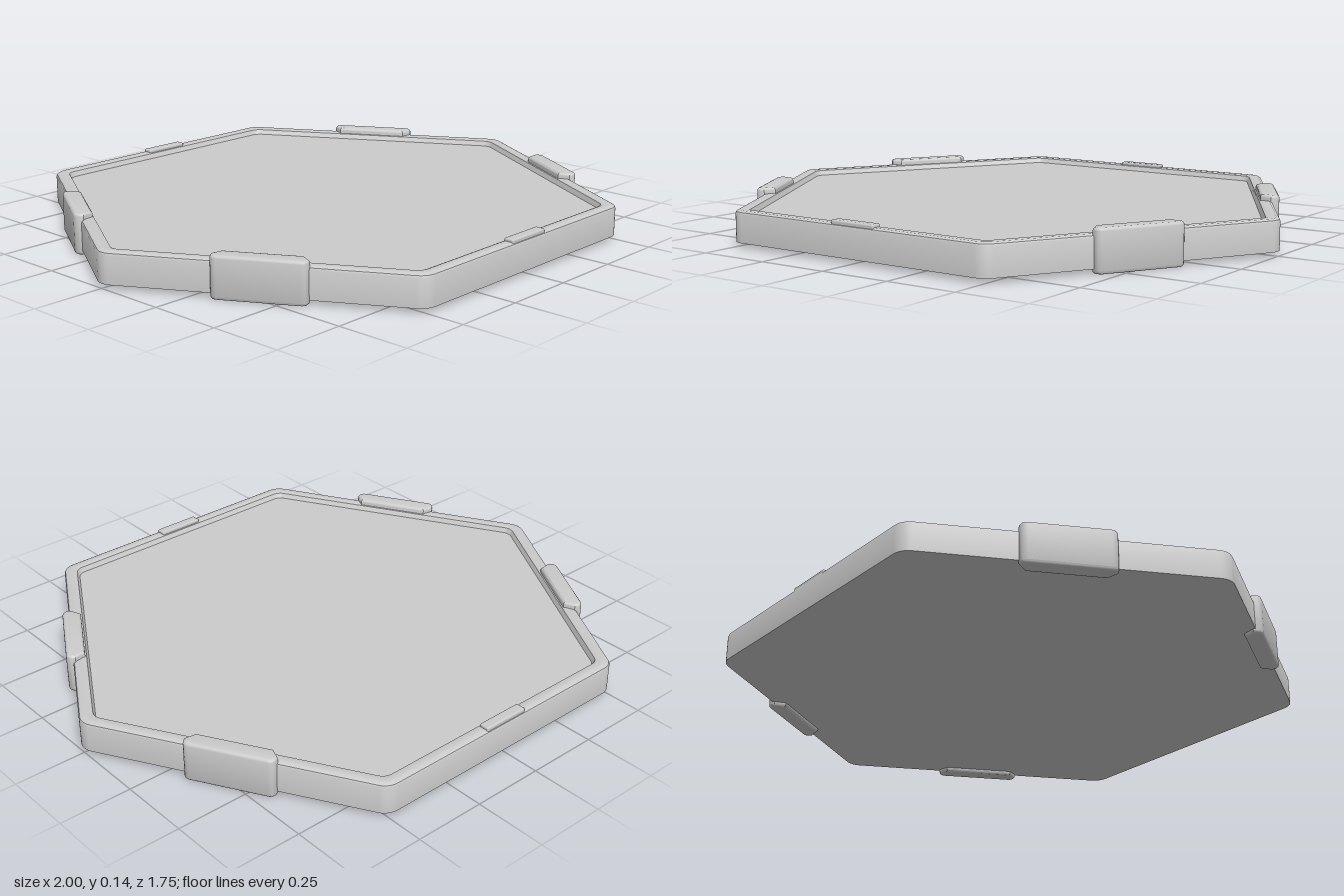
import * as THREE from 'three';
import { toCreasedNormals } from 'three/addons/utils/BufferGeometryUtils.js';
import { RoundedBoxGeometry } from 'three/addons/geometries/RoundedBoxGeometry.js';

const material = new THREE.MeshStandardMaterial({ color: 0xcccccc });
const ARC = 6; // segments in each rounded corner

// Hexagon with rounded corners, corner points on +x and -x
function hexLoop(apothem, radius) {
  const points = [];
  const reach = (apothem - radius) / Math.cos(Math.PI / 6);
  for (let c = 0; c < 6; c++) {
    const mid = (c * Math.PI) / 3;
    for (let i = 0; i <= ARC; i++) {
      const a = mid + (i / ARC - 0.5) * (Math.PI / 3);
      points.push([
        reach * Math.cos(mid) + radius * Math.cos(a),
        reach * Math.sin(mid) + radius * Math.sin(a),
      ]);
    }
  }
  return points;
}

// Joins hexagon sections [apothem, y, corner radius], from bottom centre to top centre
function loftHex(profile) {
  const n = 6 * (ARC + 1);
  const positions = [];
  const indices = [];
  profile.forEach(([a, y, r]) => {
    for (const [x, z] of hexLoop(a, r)) positions.push(x, y, z);
  });
  for (let k = 0; k < profile.length - 1; k++) {
    for (let i = 0; i < n; i++) {
      const j = (i + 1) % n;
      const a = k * n + i, b = k * n + j, c = a + n, d = b + n;
      if (profile[k][0] > 0) indices.push(a, c, b);
      if (profile[k + 1][0] > 0) indices.push(b, c, d);
    }
  }
  const geometry = new THREE.BufferGeometry();
  geometry.setAttribute('position', new THREE.Float32BufferAttribute(positions, 3));
  geometry.setIndex(indices);
  return toCreasedNormals(geometry, 0.6);
}

function addMesh(parent, name, geometry) {
  const mesh = new THREE.Mesh(geometry, material);
  mesh.name = name;
  parent.add(mesh);
  return mesh;
}

// Edge clip: tapered plan shape with softened edges, raised above and below the tray
function clipGeometry() {
  const bevel = 0.01, height = 0.14;
  const shape = new THREE.Shape();
  shape.moveTo(-0.122, -0.842);
  shape.lineTo(0.122, -0.842);
  shape.lineTo(0.142, -0.868);
  shape.quadraticCurveTo(0.142, -0.885, 0.128, -0.885);
  shape.lineTo(-0.128, -0.885);
  shape.quadraticCurveTo(-0.142, -0.885, -0.142, -0.868);
  shape.closePath();
  const geometry = new THREE.ExtrudeGeometry(shape, {
    depth: height - 2 * bevel, bevelEnabled: true, bevelSize: bevel,
    bevelThickness: bevel, bevelSegments: 3, curveSegments: 5,
  });
  geometry.rotateX(-Math.PI / 2);
  geometry.translate(0, bevel, 0);
  return toCreasedNormals(geometry, 0.6);
}

export function createModel() {
  const model = new THREE.Group();
  model.name = 'hexagonalTray';

  // Tray with a raised, softened rim and a shallow recessed floor
  addMesh(model, 'tray', loftHex([
    [0, 0.015, 0], [0.873, 0.015, 0.06],
    [0.873, 0.108, 0.06], [0.87, 0.115, 0.058], [0.861, 0.12, 0.054],
    [0.836, 0.12, 0.045], [0.828, 0.117, 0.042], [0.825, 0.11, 0.04],
    [0.82, 0.1, 0.04], [0, 0.1, 0],
  ]));

  // Clips on the four slanted sides, low tabs on the front and back
  const clip = clipGeometry();
  const tab = new RoundedBoxGeometry(0.17, 0.03, 0.036, 2, 0.006);
  for (let i = 0; i < 6; i++) {
    const side = new THREE.Group();
    side.name = `side${i + 1}`;
    side.rotation.y = (i * Math.PI) / 3;
    if (i % 3 === 0) addMesh(side, 'rimTab', tab).position.set(0, 0.115, 0.85);
    else addMesh(side, 'edgeClip', clip);
    model.add(side);
  }
  return model;
}
